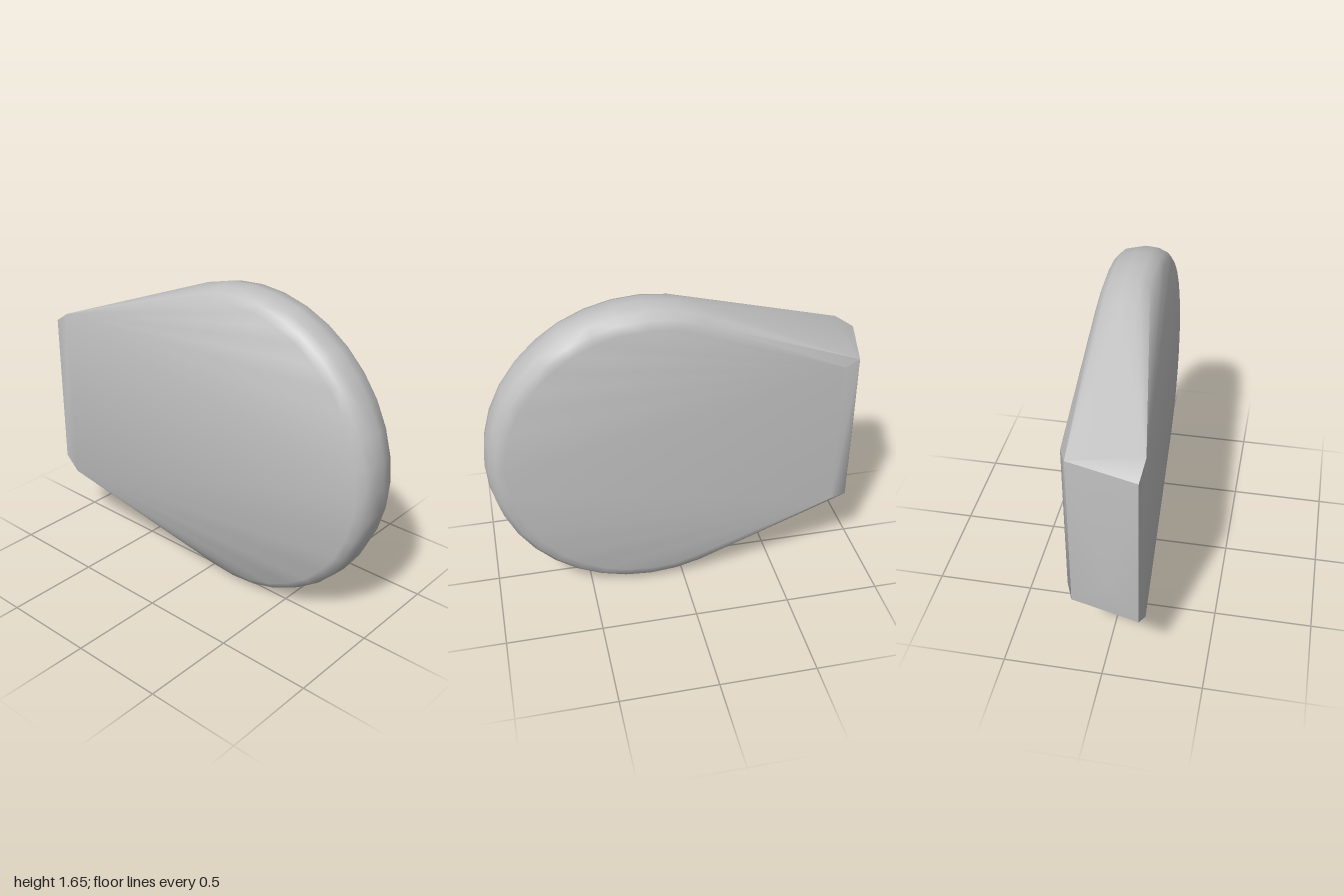
import * as THREE from 'three';
import { ConvexGeometry } from 'three/addons/geometries/ConvexGeometry.js';
import { toCreasedNormals } from 'three/addons/utils/BufferGeometryUtils.js';

export function createModel() {
  const group = new THREE.Group();
  const grey = new THREE.MeshStandardMaterial({ color: 0xc0c0c0 });
  grey.name = 'plain grey';

  const points = [];
  const midY = 0.825, discZ = 0.175, segments = 36;

  // Rounded disc at the front: rings given as [x, radius]
  const rings = [
    [-0.075, 0.765], [-0.05, 0.8], [0, 0.82], [0.07, 0.825],
    [0.15, 0.807], [0.183, 0.775], [0.198, 0.73],
  ];
  for (const [x, r] of rings) {
    for (let i = 0; i < segments; i++) {
      const a = (i / segments) * Math.PI * 2;
      points.push(new THREE.Vector3(x, midY + r * Math.sin(a), discZ + r * Math.cos(a)));
    }
  }

  // Tapered block at the back: corners as [x, half height, z], mirrored top to bottom
  const corners = [
    [-0.2, 0.485, -0.9], [-0.185, 0.42, -1],
    [0.16, 0.425, -0.91], [0.2, 0.41, -0.82],
  ];
  for (const [x, h, z] of corners) {
    for (const s of [-1, 1]) points.push(new THREE.Vector3(x, midY + s * h, z));
  }
  // Slight bulge of the back face
  points.push(new THREE.Vector3(-0.04, 0.62, -1));

  // One convex skin wraps the disc and the block
  const body = new THREE.Mesh(toCreasedNormals(new ConvexGeometry(points), 0.65), grey);
  body.name = 'taperedDiscBody';
  group.add(body);
  return group;
}
